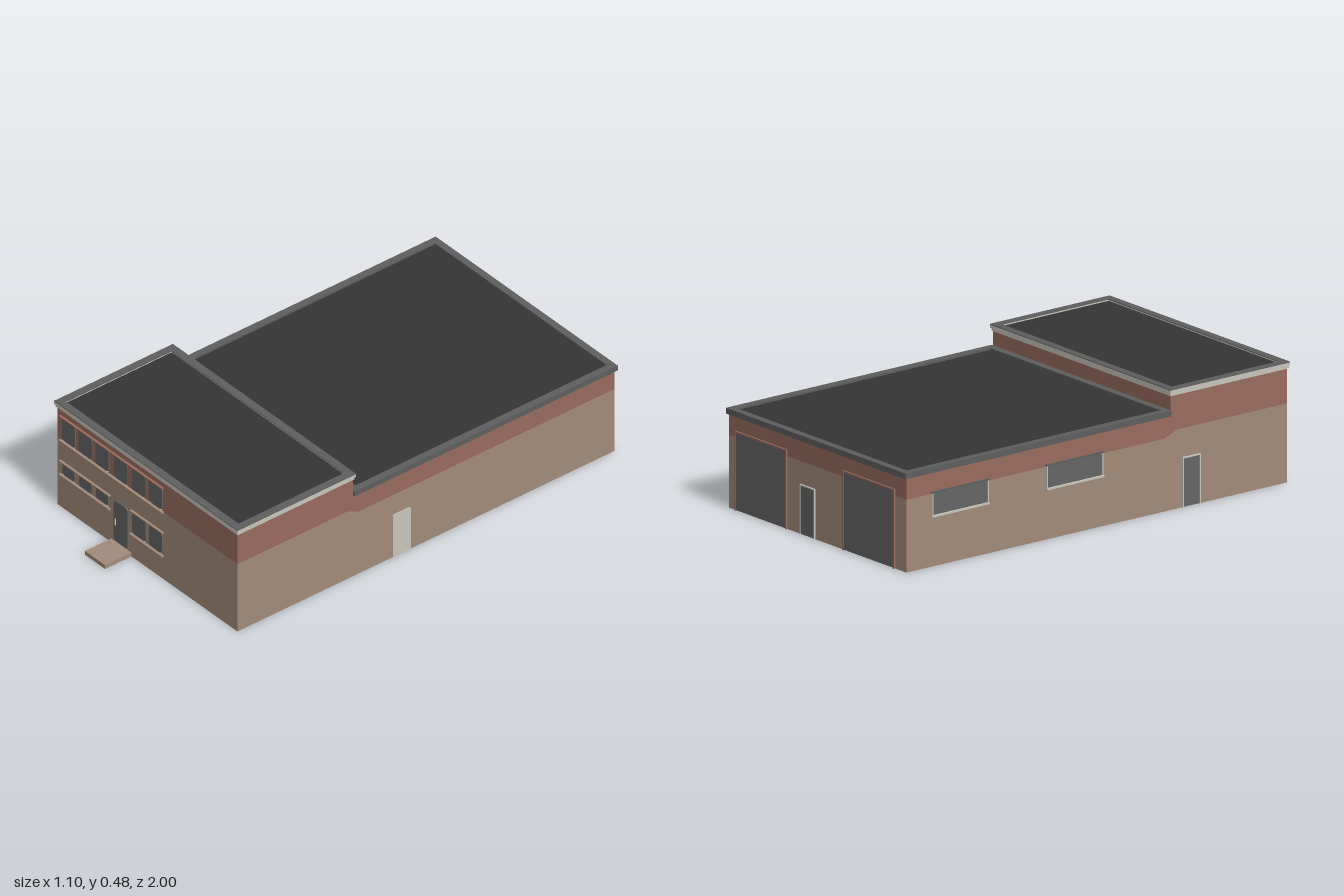
import * as THREE from 'three';

const paint = (name, color, double = false) => {
  const m = new THREE.MeshStandardMaterial({ color });
  m.name = name;
  if (double) m.side = THREE.DoubleSide;
  return m;
};

export function createModel() {
  const tan = paint('tan brick', 0xa38b7a, true);
  const red = paint('red brick', 0x986c5d, true);
  const light = paint('light trim', 0xc8c5bb);
  const glass = paint('grey glass', 0x656565);
  const grey = paint('grey coping', 0x5e5e5e);
  const dark = paint('dark roof', 0x353535);

  const X = 0.54, FRONT = 0.87, STEP = 0.30, BACK = -0.99;
  const model = new THREE.Group();
  model.name = 'building';

  const add = (parent, name, geo, mat, x = 0, y = 0, z = 0) => {
    const m = new THREE.Mesh(geo, mat);
    m.name = name;
    m.position.set(x, y, z);
    parent.add(m);
    return m;
  };
  // Box given by its lower and upper limits
  const block = (parent, name, mat, x0, x1, y0, y1, z0, z1) =>
    add(parent, name, new THREE.BoxGeometry(x1 - x0, y1 - y0, z1 - z0), mat,
      (x0 + x1) / 2, (y0 + y1) / 2, (z0 + z1) / 2);
  const sheet = (parent, name, mat, pts) =>
    add(parent, name, new THREE.ShapeGeometry(new THREE.Shape(pts.map(p => new THREE.Vector2(...p)))), mat);
  const rect = (a, b, y0, y1) => [[a, y0], [b, y0], [b, y1], [a, y1]];

  // One group per facade: local +z faces outwards
  const facade = (name, x, z, turn) => {
    const g = new THREE.Group();
    g.name = name;
    g.position.set(x, 0, z);
    g.rotation.y = turn;
    model.add(g);
    return g;
  };
  const front = facade('frontFacade', 0, FRONT, 0);
  const back = facade('backFacade', 0, BACK, Math.PI);
  const left = facade('leftFacade', X, 0, Math.PI / 2);
  const right = facade('rightFacade', -X, 0, -Math.PI / 2);

  // Brick walls with a red upper band
  sheet(front, 'frontWall', tan, rect(-X, X, 0, 0.315));
  sheet(front, 'frontBand', red, rect(-X, X, 0.315, 0.46));
  sheet(back, 'backWall', tan, rect(-X, X, 0, 0.29));
  sheet(back, 'backBand', red, rect(-X, X, 0.29, 0.38));
  for (const [g, s] of [[left, -1], [right, 1]]) {
    const flip = pts => pts.map(([z, y]) => [z * s, y]);
    sheet(g, 'sideWall', tan, flip([[BACK, 0], [FRONT, 0], [FRONT, 0.315], [0.33, 0.315], [0.27, 0.29], [BACK, 0.29]]));
    sheet(g, 'sideBand', red, flip([[BACK, 0.29], [0.27, 0.29], [0.33, 0.315], [FRONT, 0.315],
      [FRONT, 0.46], [STEP, 0.46], [STEP, 0.38], [BACK, 0.38]]));
  }
  sheet(model, 'upperRearWall', red, rect(-X, X, 0.375, 0.46)).position.z = STEP;

  // Pane with rounded corners, visible from both sides of the wall
  const pane = (g, name, u, w, y0, y1, r, mat = glass) => {
    const s = new THREE.Shape(), a = u - w / 2, b = u + w / 2;
    s.moveTo(a + r, y0).lineTo(b - r, y0).quadraticCurveTo(b, y0, b, y0 + r);
    s.lineTo(b, y1 - r).quadraticCurveTo(b, y1, b - r, y1);
    s.lineTo(a + r, y1).quadraticCurveTo(a, y1, a, y1 - r);
    s.lineTo(a, y0 + r).quadraticCurveTo(a, y0, a + r, y0);
    add(g, name, new THREE.ExtrudeGeometry(s, { depth: 0.008, bevelEnabled: false, curveSegments: 4 }), mat, 0, 0, -0.004);
  };
  // Three-sided surround of a door
  const surround = (g, name, u, w, h, t, mat) => {
    for (const s of [-1, 1]) {
      const c = u + s * (w + t) / 2;
      block(g, name, mat, c - t / 2, c + t / 2, 0, h, -0.004, 0.007);
    }
    block(g, name, mat, u - w / 2 - t, u + w / 2 + t, h, h + t, -0.004, 0.007);
  };

  // Front window rows with shared lintels and sills
  const cols = [-0.468, -0.368, -0.268, -0.156, -0.047, 0.053];
  const rows = [
    { list: cols, y0: 0.322, y1: 0.42, a: -0.52, b: 0.10, w: 0.08, r: 0.015 },
    { list: cols.slice(0, 3), y0: 0.162, y1: 0.21, a: -0.52, b: -0.218, w: 0.074, r: 0.012 },
    { list: cols.slice(4), y0: 0.117, y1: 0.212, a: -0.095, b: 0.10, w: 0.08, r: 0.015 },
  ];
  for (const { list, y0, y1, a, b, w, r } of rows) {
    for (const u of list) {
      pane(front, 'frontWindow', u, w, y0, y1, r);
      for (const y of [y0 - 0.003, y1])
        block(front, 'windowTrim', light, u - w * 0.42, u + w * 0.42, y, y + 0.003, -0.003, 0.004);
    }
    block(front, 'windowSill', tan, a, b, y0 - 0.011, y0 - 0.005, 0, 0.012);
    block(front, 'windowLintel', y1 > 0.3 ? red : tan, a, b, y1 + 0.004, y1 + 0.009, 0, 0.01);
  }

  // Entrance and its step
  pane(front, 'entranceDoor', -0.156, 0.083, 0.024, 0.212, 0.016);
  block(front, 'doorHandle', light, -0.187, -0.183, 0.10, 0.13, 0.003, 0.009);
  block(model, 'entranceStep', tan, -0.216, -0.096, 0, 0.018, FRONT, 1.0);

  // Left side door
  pane(left, 'leftDoor', -0.062, 0.088, 0.002, 0.198, 0.008, light);

  // Right side door and long windows
  pane(right, 'rightDoor', 0.40, 0.078, 0.002, 0.195, 0.002);
  surround(right, 'rightDoorFrame', 0.40, 0.078, 0.195, 0.005, light);
  for (const u of [-0.73, -0.17]) {
    pane(right, 'sideWindow', u, 0.265, 0.206, 0.294, 0.004);
    block(right, 'sideWindowSill', light, u - 0.14, u + 0.14, 0.198, 0.205, -0.004, 0.01);
    block(right, 'sideWindowLintel', grey, u - 0.14, u + 0.14, 0.294, 0.299, -0.004, 0.009);
    for (const s of [-1, 1])
      block(right, 'sideWindowJamb', light, u + s * 0.136 - 0.003, u + s * 0.136 + 0.003, 0.2, 0.296, -0.004, 0.006);
  }

  // Back loading doors and service door
  for (const u of [-0.34, 0.315]) {
    pane(back, 'loadingDoor', u, 0.30, 0.002, 0.31, 0.002);
    surround(back, 'loadingDoorFrame', u, 0.30, 0.31, 0.007, red);
  }
  pane(back, 'serviceDoor', -0.058, 0.08, 0.002, 0.195, 0.002);
  surround(back, 'serviceDoorFrame', -0.058, 0.08, 0.195, 0.005, light);

  // Flat rectangular ring around a roof
  const ring = (name, mat, x, z0, z1, border, y0, y1) => {
    const s = new THREE.Shape(rect(-x, x, -z1, -z0).map(p => new THREE.Vector2(...p)));
    s.holes.push(new THREE.Path(rect(-x + border, x - border, -z1 + border, -z0 - border)
      .map(p => new THREE.Vector2(...p))));
    const geo = new THREE.ExtrudeGeometry(s, { depth: y1 - y0, bevelEnabled: false });
    add(model, name, geo.rotateX(-Math.PI / 2), mat, 0, y0, 0);
  };

  // Front roof with stepped light cornice
  block(model, 'frontCornice', light, -0.545, 0.545, 0.455, 0.467, 0.297, 0.874);
  ring('frontCorniceTop', light, 0.549, 0.293, 0.878, 0.03, 0.467, 0.479);
  ring('frontCoping', grey, 0.549, 0.293, 0.878, 0.032, 0.479, 0.482);
  block(model, 'frontRoof', dark, -0.519, 0.519, 0.467, 0.473, 0.323, 0.848);

  // Rear roof with grey parapet
  ring('rearParapet', grey, 0.546, -1.0, 0.299, 0.03, 0.375, 0.398);
  block(model, 'rearRoof', dark, -0.517, 0.517, 0.383, 0.39, -0.971, 0.27);

  return model;
}
